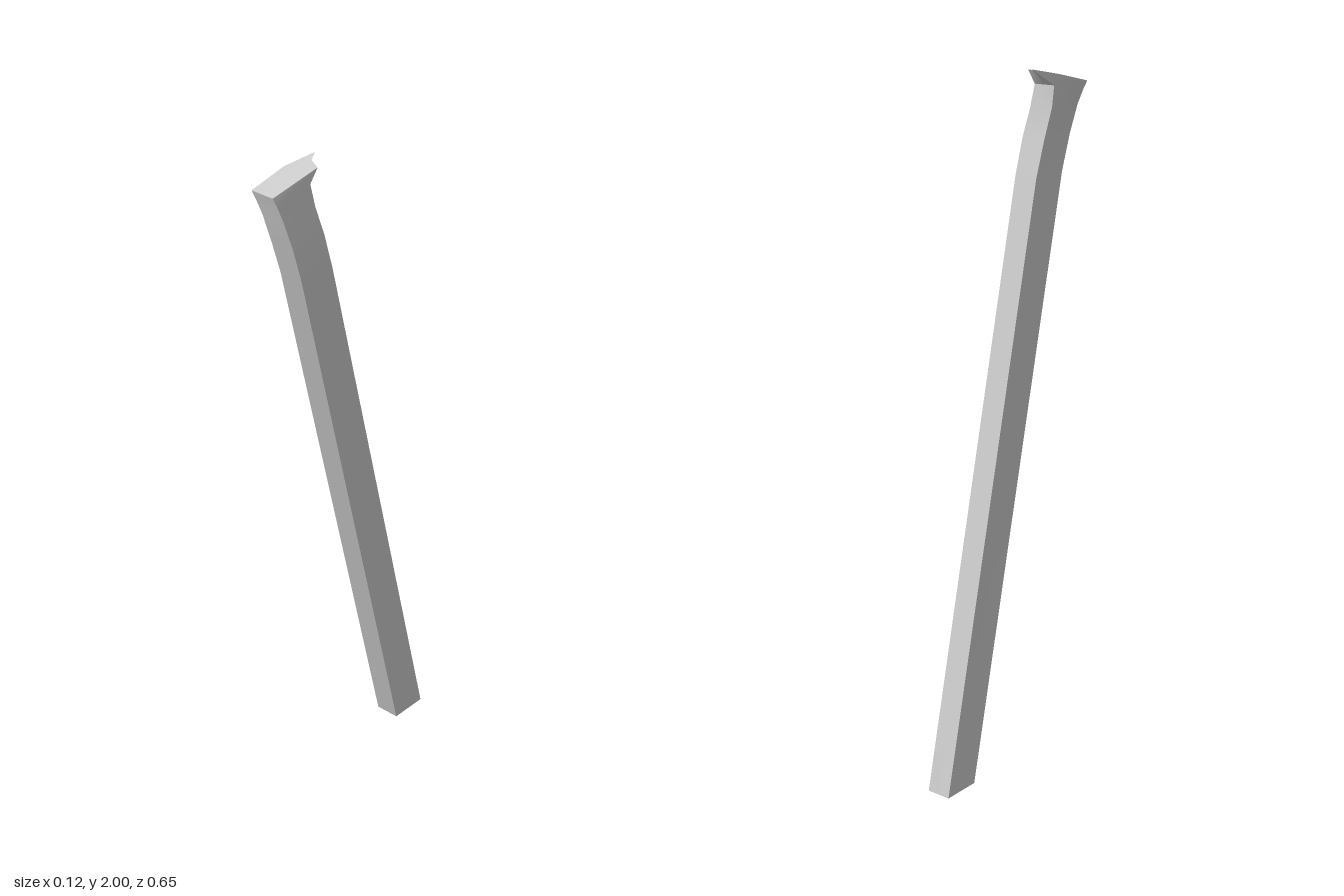
import * as THREE from 'three';
import { toCreasedNormals } from 'three/addons/utils/BufferGeometryUtils.js';

// The four long edges of the post, each as points from foot to head
const frontLeft = [[-.043, 0, -.21], [-.021, 1.7, .255], [-.027, 1.8, .283], [-.039, 1.88, .302], [-.051, 1.92, .311], [-.06, 1.945, .317]];
const frontRight = [[.03, 0, -.205], [.051, 1.7, .26], [.045, 1.8, .286], [.033, 1.88, .307], [.022, 1.92, .316], [.013, 1.945, .323]];
const backRight = [[.038, 0, -.32], [.058, 1.7, .142], [.053, 1.8, .168], [.043, 1.88, .19], [.035, 1.945, .2], [.043, 1.986, .18]];
const backLeft = [[-.035, 0, -.325], [-.014, 1.7, .137], [-.02, 1.8, .165], [-.03, 1.89, .188], [-.034, 1.95, .192], [-.002, 2, .133]];

const mix = (a, b, t) => a.map((v, i) => v + (b[i] - v) * t);

// Join cross-sections (counter-clockwise from above) into a closed solid
function loft(rings) {
  const n = rings[0].length, index = [];
  rings.slice(1).forEach((_, r) => {
    for (let i = 0; i < n; i++) {
      const a = r * n + i, b = r * n + (i + 1) % n;
      index.push(a, b, b + n, a, b + n, a + n);
    }
  });
  const top = (rings.length - 1) * n;
  for (let i = 1; i < n - 1; i++) {
    index.push(top, top + i, top + i + 1);
    index.push(0, i + 1, i);
  }
  const geometry = new THREE.BufferGeometry();
  geometry.setAttribute('position', new THREE.Float32BufferAttribute(rings.flat(2), 3));
  geometry.setIndex(index);
  return toCreasedNormals(geometry, Math.PI / 5);
}

export function createModel() {
  const group = new THREE.Group();
  group.name = 'leaningPost';

  const rings = frontLeft.map((fl, i) => {
    const br = backRight[i], bl = backLeft[i];
    return [fl, frontRight[i], br, mix(br, bl, .5), bl, mix(fl, bl, .75)];
  });
  // Scooped back edge and swept horn of the head
  const head = rings[rings.length - 1];
  head[3] = [.011, 1.992, .164];
  head[5] = [-.04, 1.978, .212];

  const post = new THREE.Mesh(loft(rings), new THREE.MeshStandardMaterial({ color: 0xcccccc }));
  post.name = 'post';
  group.add(post);
  return group;
}
